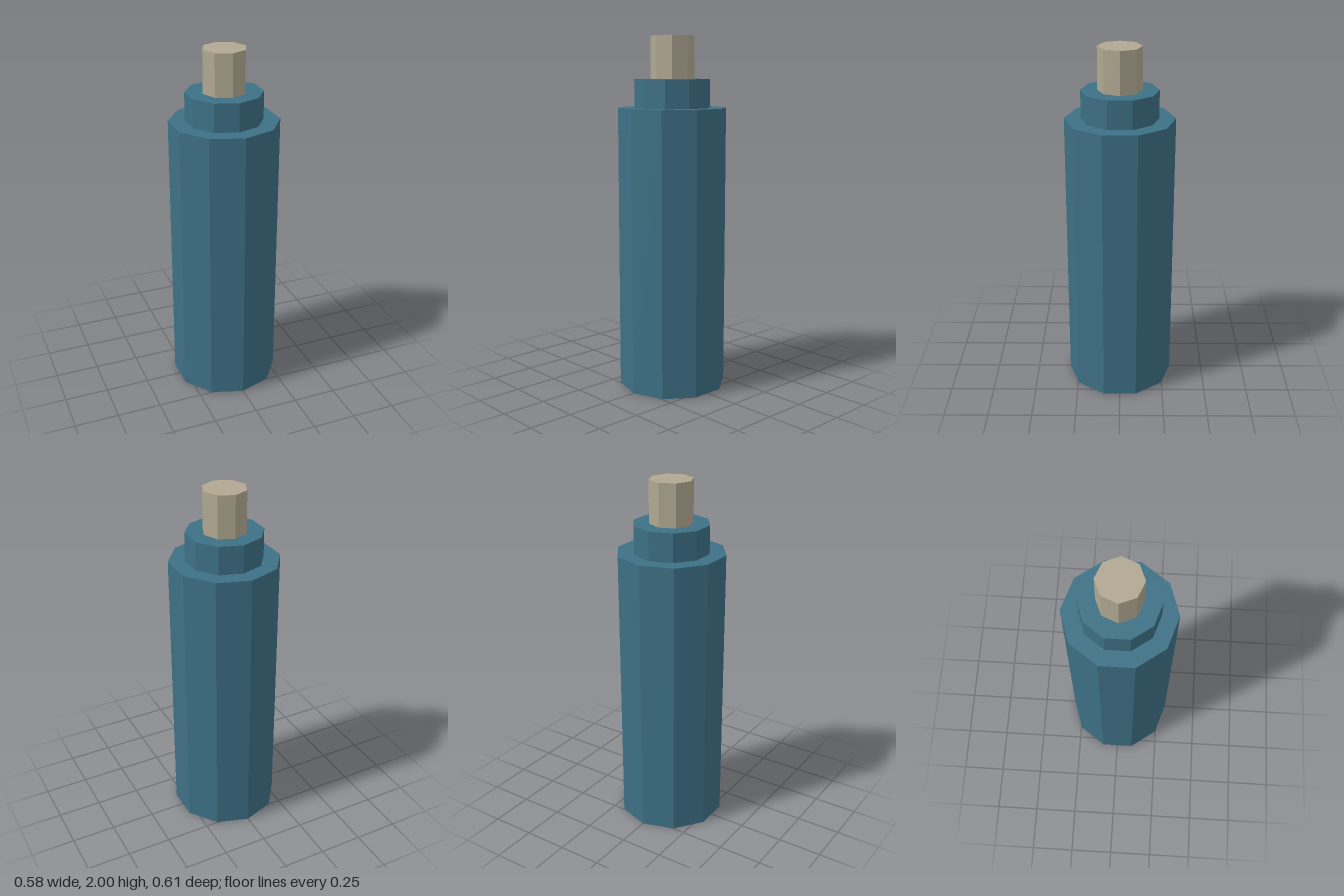
import * as THREE from 'three';

export function createModel() {
  const group = new THREE.Group();
  const blue = new THREE.MeshStandardMaterial({ color: 0x3d7085, flatShading: true });
  const tan = new THREE.MeshStandardMaterial({ color: 0xb0a891, flatShading: true });

  // Upright prism between two heights, with a corner facing the front
  function prism(name, radius, bottom, top, sides, material) {
    const mesh = new THREE.Mesh(
      new THREE.CylinderGeometry(radius, radius, top - bottom, sides), material);
    mesh.name = name;
    mesh.position.y = (bottom + top) / 2;
    group.add(mesh);
  }

  prism('body', 0.306, 0, 1.604, 10, blue);
  prism('shoulder', 0.214, 1.604, 1.763, 10, blue);
  prism('tip', 0.122, 1.763, 2, 8, tan);

  return group;
}
